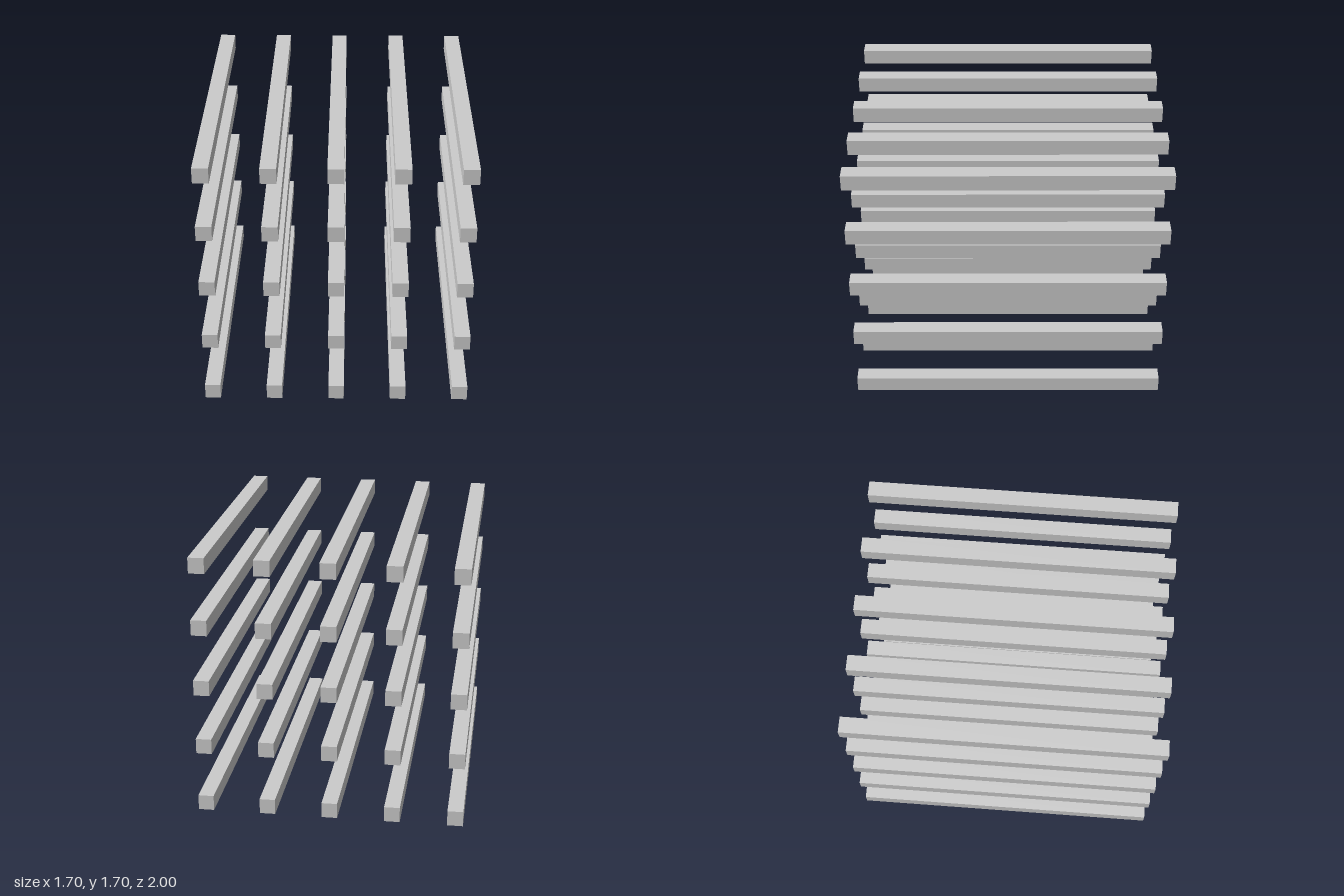
import * as THREE from 'three';

const COUNT = 5;      // bars per row and per column
const SPACING = 0.4;  // centre to centre
const THICK = 0.1;    // square section
const LENGTH = 2;

export function createModel() {
  const model = new THREE.Group();
  model.name = 'barStack';

  const material = new THREE.MeshStandardMaterial({ color: 0xcccccc });
  const geometry = new THREE.BoxGeometry(THICK, THICK, LENGTH);

  // Horizontal layers of parallel bars running front to back
  for (let row = 0; row < COUNT; row++) {
    const layer = new THREE.Group();
    layer.name = `layer${row + 1}`;
    layer.position.y = THICK / 2 + row * SPACING;
    for (let col = 0; col < COUNT; col++) {
      const bar = new THREE.Mesh(geometry, material);
      bar.name = `bar${col + 1}`;
      bar.position.x = (col - (COUNT - 1) / 2) * SPACING;
      layer.add(bar);
    }
    model.add(layer);
  }
  return model;
}
